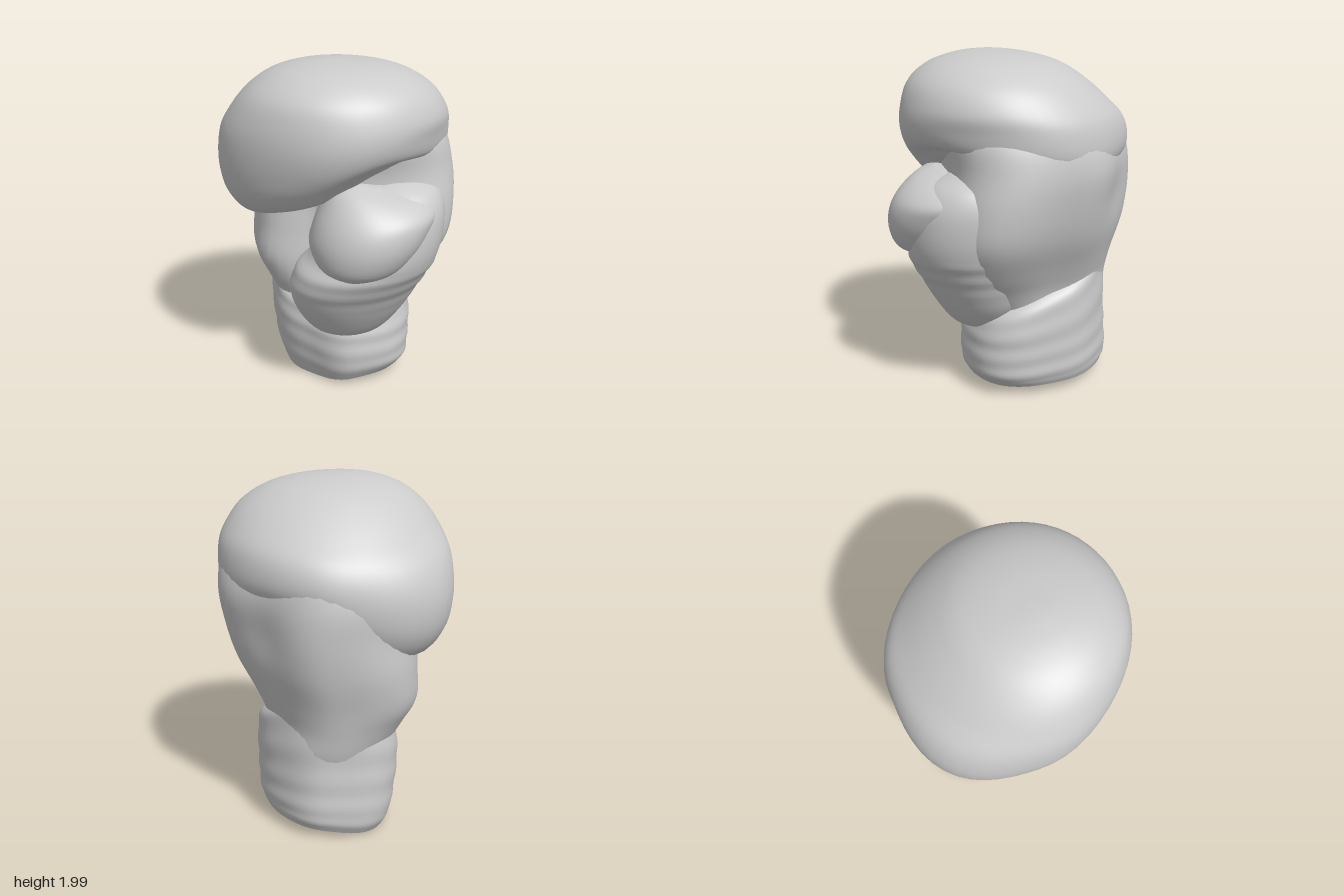
import * as THREE from 'three';
import { toCreasedNormals } from 'three/addons/utils/BufferGeometryUtils.js';

const material = new THREE.MeshStandardMaterial({ color: 0xcccccc });

// Uniform Catmull-Rom blend of four numbers
function blend(a, b, c, d, t) {
  return b + 0.5 * t * (c - a + t * (2 * a - 5 * b + 4 * c - d + t * (3 * (b - c) + d - a)));
}

// Closed skin over rings, bottom to top. Trailing zeros may be left out of a ring:
// [y, xMin, xMax, zMin, zMax, stepX, tiltZ, arch, frontLeft, frontRight, backRight, backLeft]
// Step, tilt and arch bend the ring's height; the last four swell the ring at its diagonals.
function loft(name, ringList, { power = 2, steps = 5, sides = 56, ripple = () => 0 } = {}) {
  const rings = ringList.map(r => Array.from({ length: 12 }, (_, k) => r[k] ?? 0));
  const rows = [];
  const last = rings.length - 1;
  for (let i = 0; i < last; i++) {
    const [a, b, c, d] = [i - 1, i, i + 1, i + 2].map(k => rings[Math.min(last, Math.max(0, k))]);
    for (let s = 0; s < steps; s++) {
      rows.push(b.map((v, k) => blend(a[k], v, c[k], d[k], s / steps)));
    }
  }
  rows.push(rings[last]);

  const points = [], faces = [];
  const addPoint = ([y, x0, x1, z0, z1, step, tilt, arch, ...swell], cos, sin, wrinkle) => {
    const quarter = sin >= 0 ? (cos >= 0 ? 0 : 1) : (cos < 0 ? 2 : 3);
    const grow = wrinkle + swell[quarter] * (2 * sin * cos) ** 2;
    const x = (x0 + x1) / 2 + ((x1 - x0) / 2 + grow) * cos;
    const z = (z0 + z1) / 2 + ((z1 - z0) / 2 + grow) * sin;
    points.push(x, y + step * Math.tanh(5 * x) + tilt * z - arch * x * x, z);
  };
  const round = v => Math.sign(v) * Math.abs(v) ** (2 / power);
  for (const row of rows) {
    for (let j = 0; j < sides; j++) {
      const t = (j / sides) * Math.PI * 2;
      addPoint(row, round(Math.cos(t)), round(Math.sin(t)), ripple(row[0], t));
    }
  }
  const bottom = rows.length * sides, top = bottom + 1;
  addPoint(rows[0], 0, 0, 0);
  addPoint(rows[rows.length - 1], 0, 0, 0);
  const lastRow = (rows.length - 1) * sides;
  for (let j = 0; j < sides; j++) {
    const n = (j + 1) % sides;
    for (let i = 0; i < rows.length - 1; i++) {
      const a = i * sides + j, b = i * sides + n;
      faces.push(a, a + sides, b, b, a + sides, b + sides);
    }
    faces.push(bottom, j, n, top, lastRow + n, lastRow + j);
  }
  const geometry = new THREE.BufferGeometry();
  geometry.setAttribute('position', new THREE.Float32BufferAttribute(points, 3));
  geometry.setIndex(faces);
  const mesh = new THREE.Mesh(toCreasedNormals(geometry, 0.9), material);
  mesh.name = name;
  return mesh;
}

export function createModel() {
  const glove = new THREE.Group();
  glove.name = 'boxingGlove';

  // Wrist cuff: slanted foot, faintly wrinkled, top edge falling to the front
  glove.add(loft('cuff', [
    [0.04, -0.28, 0.42, -0.59, 0.25, 0.035, 0, 0, 0.02, -0.04, 0.03, -0.02],
    [0.11, -0.31, 0.45, -0.62, 0.29, 0.025, 0, 0, 0.03, -0.05, 0.04, -0.03],
    [0.20, -0.33, 0.46, -0.62, 0.31, 0.01, 0, 0, 0.03, -0.05, 0.04, -0.03],
    [0.34, -0.35, 0.465, -0.61, 0.305, 0, -0.04, 0, 0.03, -0.05, 0.04, -0.03],
    [0.46, -0.35, 0.465, -0.60, 0.29, 0.01, -0.15, 0, 0.03, -0.05, 0.04, -0.03],
    [0.55, -0.335, 0.45, -0.59, 0.25, 0.03, -0.25, 0, 0.02, -0.04, 0.03, -0.03],
    [0.61, -0.28, 0.38, -0.55, 0.16, 0.04, -0.25],
  ], { power: 2.2, ripple: (y, t) => (y > 0.08 ? 0.003 * Math.sin(y * 48 + 2 * Math.sin(t)) : 0) }));

  // Palm and back of the hand: full beside the thumb, hollow on the palm side
  glove.add(loft('palm', [
    [0.30, -0.28, 0.38, -0.54, 0.18],
    [0.50, -0.33, 0.385, -0.605, 0.25, 0, 0, 0, 0.03, -0.07, 0.00, 0.00],
    [0.65, -0.40, 0.41, -0.635, 0.33, 0, 0, 0, 0.08, -0.13, 0.02, -0.02],
    [0.80, -0.46, 0.475, -0.665, 0.38, 0, 0, 0, 0.13, -0.19, 0.05, -0.03],
    [1.00, -0.45, 0.575, -0.71, 0.42, 0, 0, 0, 0.15, -0.24, 0.06, -0.06],
    [1.20, -0.47, 0.635, -0.735, 0.42, 0, 0, 0, 0.13, -0.24, 0.03, -0.09],
    [1.40, -0.57, 0.665, -0.735, 0.42, 0, 0, 0, 0.09, -0.19, -0.01, -0.08],
    [1.58, -0.52, 0.635, -0.67, 0.46, 0, 0, 0, 0.04, -0.08, 0.00, -0.07],
    [1.72, -0.40, 0.53, -0.50, 0.42],
  ], { power: 2.1 }));

  // Padded fist: the folded fingers hang low on the right
  glove.add(loft('fist', [
    [1.35, -0.30, 0.30, -0.40, 0.25, 0.12, 0.12, 0.30],
    [1.30, -0.49, 0.50, -0.60, 0.42, 0.12, 0.15, 0.30, 0.00, 0.00, 0.04, -0.02],
    [1.38, -0.62, 0.61, -0.70, 0.51, 0.10, 0.10, 0.18, -0.01, 0.00, 0.05, -0.03],
    [1.48, -0.67, 0.66, -0.73, 0.585, 0.05, 0.03, 0.11, -0.02, -0.02, 0.05, -0.03],
    [1.60, -0.66, 0.66, -0.69, 0.62, 0.02, 0, 0, -0.02, -0.02, 0.03, -0.02],
    [1.72, -0.605, 0.625, -0.58, 0.61, 0, 0, 0, 0.00, -0.01],
    [1.84, -0.52, 0.535, -0.44, 0.56],
    [1.93, -0.40, 0.39, -0.30, 0.45],
    [1.98, -0.26, 0.21, -0.13, 0.30],
    [2.00, -0.12, 0.00, 0.03, 0.15],
  ]));

  // Ball of the thumb, running up into the side of the hand
  glove.add(loft('thumbBase', [
    [0.37, -0.04, 0.08, 0.10, 0.24],
    [0.42, -0.18, 0.24, 0.00, 0.36],
    [0.55, -0.28, 0.36, -0.10, 0.46],
    [0.70, -0.32, 0.43, -0.10, 0.545],
    [0.82, -0.29, 0.48, -0.10, 0.615],
    [0.92, -0.20, 0.52, -0.10, 0.65],
    [1.05, -0.14, 0.55, -0.10, 0.655],
    [1.20, -0.10, 0.56, -0.10, 0.63],
    [1.31, 0.00, 0.52, 0.00, 0.55],
    [1.37, 0.10, 0.44, 0.10, 0.43],
  ], { ripple: (y, t) => (y > 0.65 && y < 0.9 ? 0.003 * Math.sin(y * 60 - 2 * Math.cos(t)) : 0) }));

  // Thumb tip, tucked below the fingers
  glove.add(loft('thumbTip', [
    [0.87, -0.10, 0.10, 0.40, 0.60],
    [0.93, -0.20, 0.26, 0.25, 0.69],
    [1.04, -0.24, 0.38, 0.10, 0.735],
    [1.15, -0.22, 0.44, 0.10, 0.735],
    [1.25, -0.17, 0.47, 0.10, 0.695, -0.02],
    [1.34, -0.11, 0.42, 0.12, 0.60, -0.04],
    [1.39, -0.04, 0.24, 0.20, 0.47, -0.04],
  ]));

  return glove;
}
